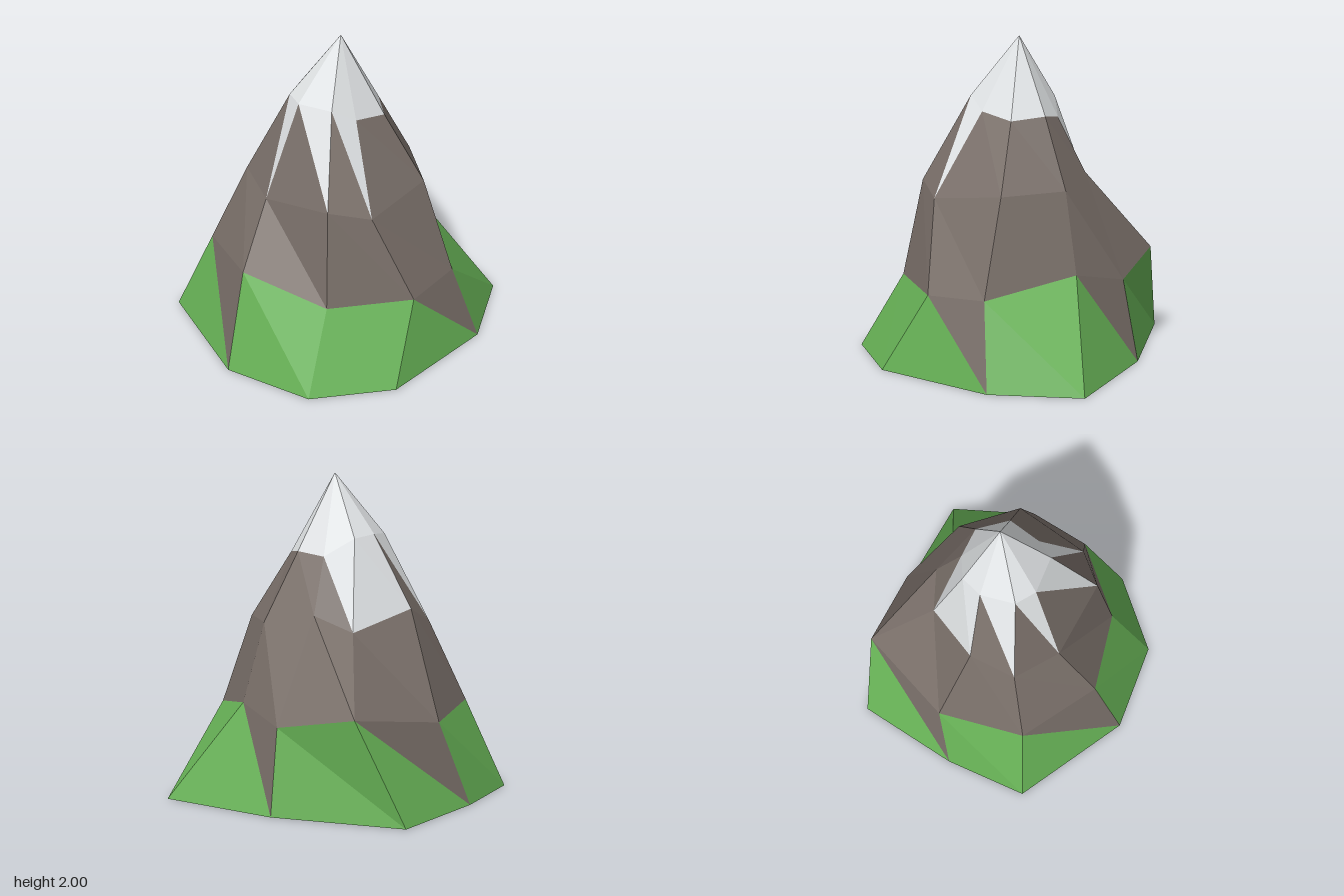
import * as THREE from 'three';

const paint = (name, color) => {
  const m = new THREE.MeshStandardMaterial({ color, flatShading: true, side: THREE.DoubleSide });
  m.name = name;
  return m;
};

// Irregular nine-sided cross-sections, counter-clockwise from the front: [x, y, z]
const foot = [
  [-0.40, 0, 0.81], [0.18, 0, 0.91], [0.66, 0, 0.64], [0.99, 0, -0.08], [0.95, 0, -0.65],
  [0.20, 0, -0.88], [-0.63, 0, -0.91], [-0.88, 0, -0.28], [-1.0, 0, 0.25],
];
const slope = [
  [-0.365, 0.62, 0.60], [0.195, 0.49, 0.62], [0.67, 0.49, 0.345], [0.81, 0.51, -0.03], [0.49, 0.61, -0.53],
  [0.19, 0.52, -0.78], [-0.32, 0.615, -0.90], [-0.70, 0.52, -0.365], [-0.75, 0.56, 0.20],
];
const shoulder = [
  [-0.305, 1.02, 0.34], [0.157, 1.10, 0.495], [0.395, 1.03, 0.365], [0.585, 1.09, -0.087], [0.38, 1.10, -0.445],
  [0.04, 1.16, -0.515], [-0.195, 1.06, -0.485], [-0.48, 1.18, -0.185], [-0.53, 1.07, 0.10],
];
const crown = [
  [-0.153, 1.62, 0.155], [0.077, 1.63, 0.20], [0.20, 1.545, 0.105], [0.315, 1.505, -0.097], [0.21, 1.525, -0.29],
  [0.03, 1.50, -0.34], [-0.15, 1.61, -0.29], [-0.24, 1.63, -0.165], [-0.25, 1.62, 0.05],
];
const peak = [0.03, 2, -0.095];

export function createModel() {
  const group = new THREE.Group();
  const parts = { grass: [], rock: [], snow: [] };

  // Joins two rings; each bay has a lower and an upper triangle, coloured by rule
  const band = (low, high, lowerPart, upperPart) => {
    for (let i = 0; i < low.length; i++) {
      const j = (i + 1) % low.length;
      parts[lowerPart(i)].push(low[i], low[j], high[i]);
      parts[upperPart(i)].push(high[i], low[j], high[j]);
    }
  };
  const rock = () => 'rock';

  // Grassy foot with rock spurs reaching the ground
  band(foot, slope, () => 'grass', i => ([2, 4, 6, 8].includes(i) ? 'rock' : 'grass'));
  // Rock body
  band(slope, shoulder, rock, rock);
  // Upper rock with snow streaks running down
  band(shoulder, crown, i => (i === 6 ? 'snow' : 'rock'), i => ([2, 3, 4].includes(i) ? 'rock' : 'snow'));
  // Snow cap
  crown.forEach((p, i) => parts.snow.push(p, crown[(i + 1) % crown.length], peak));

  const details = {
    grass: ['grassFoot', paint('grass green', 0x66b055)],
    rock: ['rockBody', paint('rock brown', 0x786e68)],
    snow: ['snowCap', paint('snow white', 0xdfe2e4)],
  };
  for (const [key, [name, material]] of Object.entries(details)) {
    const geometry = new THREE.BufferGeometry();
    geometry.setAttribute('position', new THREE.Float32BufferAttribute(parts[key].flat(), 3));
    geometry.computeVertexNormals();
    const mesh = new THREE.Mesh(geometry, material);
    mesh.name = name;
    group.add(mesh);
  }
  group.name = 'mountain';
  return group;
}
